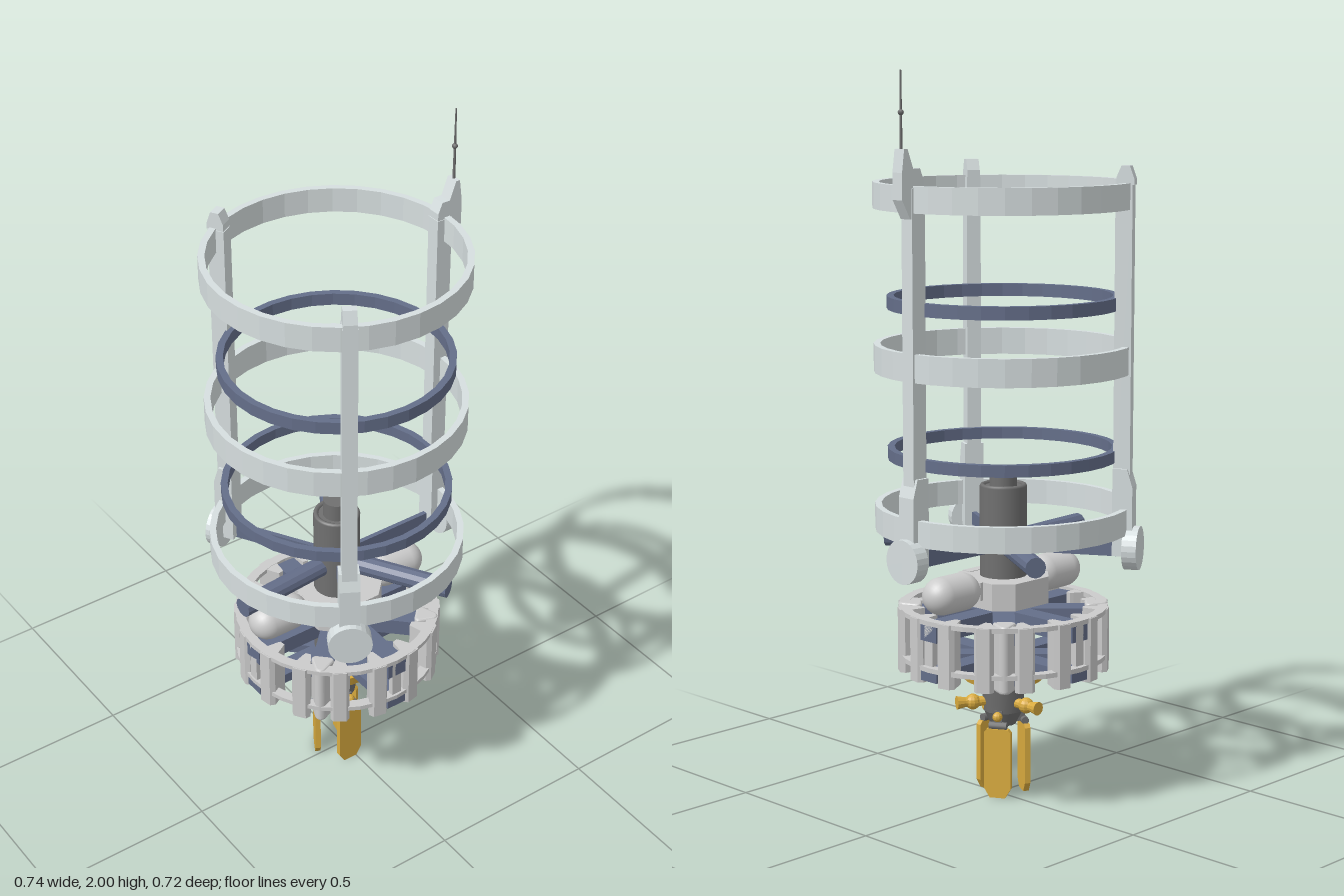
import * as THREE from 'three';

const paint = (color, flatShading = true) => new THREE.MeshStandardMaterial({ color, flatShading });
const RAD = Math.PI / 180;

export function createModel() {
  const model = new THREE.Group();
  const core = new THREE.Group();
  core.name = 'core';
  core.position.x = -0.02;
  model.add(core);

  const pale = paint(0xd6dedf), grey = paint(0xcccccc), smoothGrey = paint(0xcccccc, false);
  const navy = paint(0x646e89), dark = paint(0x707070, false), gold = paint(0xd9ab3f);

  const add = (name, geo, mat, x = 0, y = 0, z = 0, parent = core) => {
    const mesh = new THREE.Mesh(geo, mat);
    mesh.name = name;
    mesh.position.set(x, y, z);
    parent.add(mesh);
    return mesh;
  };
  // Group whose local +x points outward at the given angle
  const radial = (name, deg) => {
    const g = new THREE.Group();
    g.name = name;
    g.rotation.y = deg * RAD;
    core.add(g);
    return g;
  };
  const box = (name, mat, x0, x1, y0, y1, w, parent) =>
    add(name, new THREE.BoxGeometry(x1 - x0, y1 - y0, w), mat, (x0 + x1) / 2, (y0 + y1) / 2, 0, parent);
  const drum = (name, mat, r0, r1, y0, y1, sides = 32) =>
    add(name, new THREE.CylinderGeometry(r1, r0, y1 - y0, sides), mat, 0, (y0 + y1) / 2, 0);
  const ring = (name, mat, ri, ro, y0, y1) => {
    const p = [[ro, y0], [ro, y1], [ri, y1], [ri, y0], [ro, y0]].map(a => new THREE.Vector2(...a));
    add(name, new THREE.LatheGeometry(p, 32), mat);
  };
  const rod = (name, mat, r, x0, x1, y, parent, sides = 12, r1 = r) => {
    const geo = new THREE.CylinderGeometry(r1, r, x1 - x0, sides).rotateZ(-Math.PI / 2);
    return add(name, geo, mat, (x0 + x1) / 2, y, 0, parent);
  };
  // Outline in the local xy plane, thickened equally to both sides
  const slab = (pts, depth) => new THREE.ExtrudeGeometry(
    new THREE.Shape(pts.map(a => new THREE.Vector2(...a))), { depth, bevelEnabled: false }
  ).translate(0, 0, -depth / 2);

  // Cage hoops
  for (const [y0, y1] of [[0.76, 0.83], [1.195, 1.27], [1.635, 1.705]]) ring('cageHoop', pale, 0.334, 0.352, y0, y1);
  for (const [y0, y1] of [[0.955, 0.987], [1.365, 1.4]]) ring('innerHoop', navy, 0.297, 0.316, y0, y1);

  // Three uprights with foot discs, pointed tops and thin braces
  for (const deg of [0, 120, 240]) {
    const g = radial('upright', deg);
    box('post', pale, 0.31, 0.356, 0.76, 1.7, 0.04, g);
    add('postTip', slab([[0.312, 1.7], [0.36, 1.7], [0.36, 1.715], [0.348, 1.75], [0.325, 1.75], [0.312, 1.72]], 0.036), pale, 0, 0, 0, g);
    add('postFoot', slab([[0.31, 0.7], [0.365, 0.7], [0.365, 0.89], [0.35, 0.94], [0.31, 0.94]], 0.056), pale, 0, 0, 0, g);
    rod('footDisc', pale, 0.06, 0.342, 0.382, 0.72, g, 24);
    box('brace', navy, 0.05, 0.32, 0.695, 0.74, 0.013, g);
  }

  // Antenna and its pod
  const mast = radial('antenna', 0);
  add('antennaPod', slab([[0.345, 1.62], [0.36, 1.62], [0.388, 1.67], [0.388, 1.74], [0.38, 1.8], [0.368, 1.8], [0.345, 1.74]], 0.036), pale, 0, 0, 0, mast);
  add('antennaRod', new THREE.CylinderGeometry(0.002, 0.004, 0.2, 8), dark, 0.374, 1.9, 0, mast);
  add('antennaBead', new THREE.SphereGeometry(0.008, 8, 6), dark, 0.374, 1.893, 0, mast);

  // Thick arms carrying the cage
  for (const deg of [59, 184.8, -59]) rod('cageArm', navy, 0.028, 0.03, 0.335, 0.717, radial('arm', deg), 12);

  // Central column
  drum('column', dark, 0.065, 0.065, 0.36, 0.875);
  add('columnRim', new THREE.TorusGeometry(0.058, 0.007, 8, 32).rotateX(Math.PI / 2), dark, 0, 0.875, 0);
  drum('columnCap', dark, 0.038, 0.038, 0.87, 0.925);

  // Chamfered housing with side tanks
  const h = 0.11, c = 0.065;
  const outline = [[h, -c], [h, c], [c, h], [-c, h], [-h, c], [-h, -c], [-c, -h], [c, -h]];
  add('housing', slab(outline, 0.075).rotateX(-Math.PI / 2), grey, 0, 0.588, 0);
  add('housingPanel', new THREE.BoxGeometry(0.065, 0.02, 0.03), grey, 0.015, 0.617, 0.097);
  for (const deg of [0, 180]) {
    const g = radial('sideTank', deg);
    add('tank', new THREE.CapsuleGeometry(0.052, 0.075, 10, 24).rotateZ(Math.PI / 2), smoothGrey, 0.2, 0.604, 0, g);
    box('tankBracket', grey, 0.08, 0.12, 0.575, 0.625, 0.06, g);
  }

  // Lower frame: two plates and eight double spokes
  ring('upperPlate', grey, 0.262, 0.29, 0.531, 0.544);
  ring('lowerPlate', grey, 0.262, 0.29, 0.402, 0.415);
  for (let i = 0; i < 8; i++) {
    const g = radial('spoke', i * 45);
    const reach = i % 2 ? 0.25 : 0.287;
    box('upperSpoke', navy, 0.05, reach, 0.487, 0.535, 0.06, g);
    box('lowerSpoke', navy, 0.05, reach, 0.376, 0.406, 0.06, g);
    if (i % 2 === 0) box('spokeEnd', grey, 0.272, 0.287, 0.42, 0.53, 0.03, g);
  }
  // Wedge clamps between the spokes
  for (let i = 0; i < 16; i++) {
    const wedge = slab([[0.222, -0.008], [0.232, -0.012], [0.28, -0.027], [0.293, -0.018],
      [0.293, 0.018], [0.28, 0.027], [0.232, 0.012], [0.222, 0.008]], 0.176);
    add('wedgeClamp', wedge.rotateX(-Math.PI / 2), grey, 0, 0.455, 0, radial('clamp', 11.25 + i * 22.5));
  }
  // Rounded clamps on the diagonals
  for (const deg of [45, 135, 225, 315]) {
    const g = radial('diagonalClamp', deg);
    const s = new THREE.Shape();
    s.moveTo(0.243, -0.024);
    s.quadraticCurveTo(0.23, -0.03, 0.231, -0.012);
    s.lineTo(0.231, 0.012);
    s.quadraticCurveTo(0.23, 0.03, 0.243, 0.024);
    s.lineTo(0.278, 0.009);
    s.quadraticCurveTo(0.288, 0, 0.278, -0.009);
    s.closePath();
    const geo = new THREE.ExtrudeGeometry(s, { depth: 0.17, bevelThickness: 0.008, bevelSize: 0.006, bevelSegments: 3 });
    add('roundedClamp', geo.rotateX(-Math.PI / 2), grey, 0, 0.37, 0, g);
  }

  // Gold base disc and neck
  drum('baseDisc', gold, 0.108, 0.118, 0.33, 0.365);
  drum('neck', dark, 0.055, 0.065, 0.24, 0.335, 12);
  drum('neckEnd', dark, 0.035, 0.055, 0.2, 0.24, 12);

  // Nozzles between the fins
  for (const deg of [90, -30, -150]) {
    const g = radial('nozzle', deg);
    rod('nozzleTube', gold, 0.014, 0.05, 0.12, 0.268, g);
    add('nozzleBall', new THREE.SphereGeometry(0.022, 12, 8), gold, 0.088, 0.268, 0, g);
    rod('nozzleTip', gold, 0.014, 0.11, 0.134, 0.268, g, 12, 0.019);
  }

  // Three hanging fins with hinges
  for (const deg of [-90, 30, 150]) {
    const g = radial('fin', deg);
    const fin = slab([[-0.038, 0.03], [-0.022, 0.003], [0.022, 0.003], [0.038, 0.03],
      [0.038, 0.19], [0.03, 0.2], [-0.03, 0.2], [-0.038, 0.19]], 0.016);
    add('finPanel', fin.rotateY(Math.PI / 2), gold, 0.06, 0, 0, g);
    add('finHinge', new THREE.CylinderGeometry(0.011, 0.011, 0.05, 10).rotateX(Math.PI / 2), dark, 0.057, 0.208, 0, g);
    box('finBracket', dark, 0.03, 0.06, 0.205, 0.25, 0.022, g);
    add('finPivot', new THREE.SphereGeometry(0.014, 10, 8), gold, 0.065, 0.235, 0, g);
  }

  return model;
}
